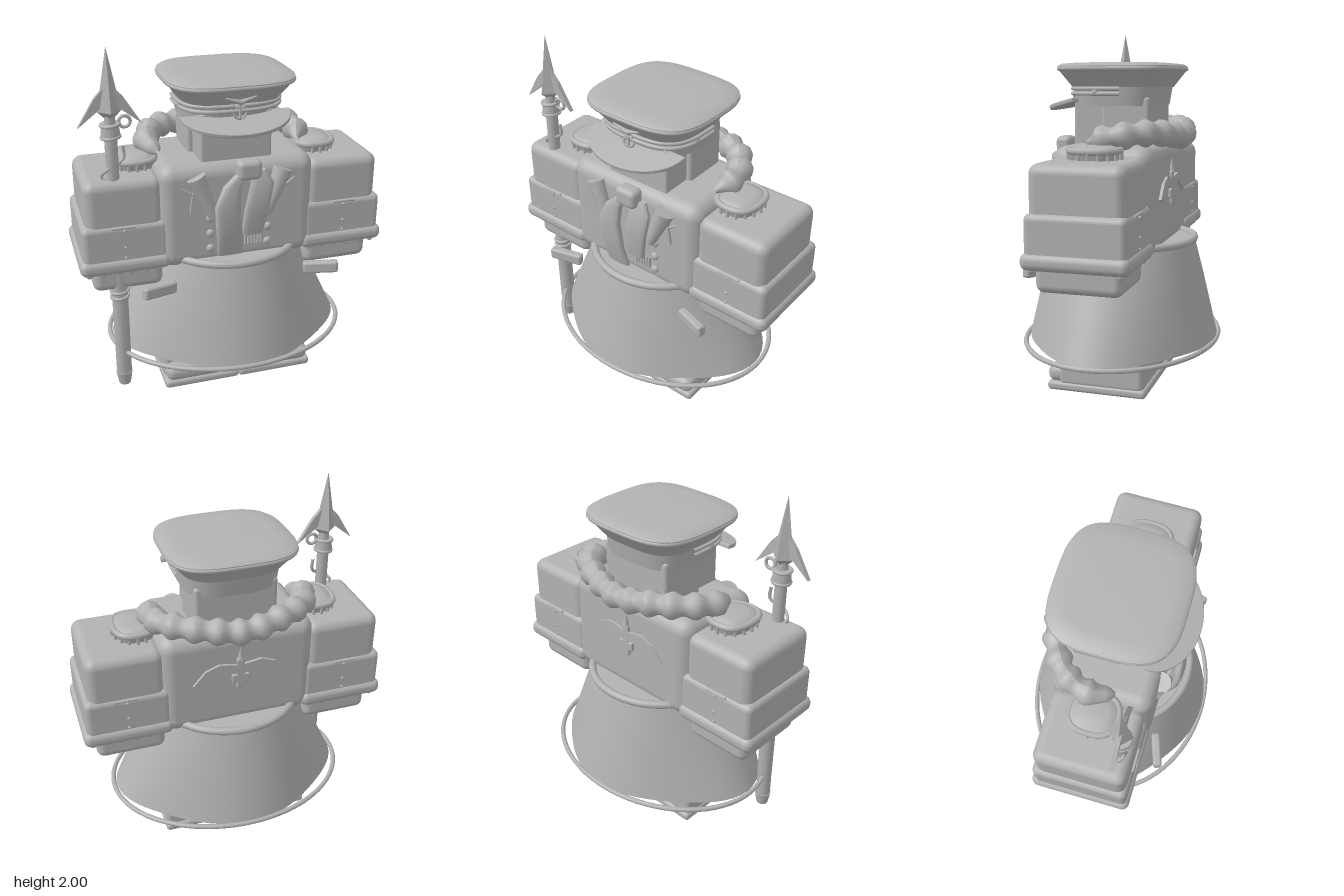
import * as THREE from 'three';
import { toCreasedNormals } from 'three/addons/utils/BufferGeometryUtils.js';
import { RoundedBoxGeometry } from 'three/addons/geometries/RoundedBoxGeometry.js';

const clay = new THREE.MeshStandardMaterial({ color: 0xb2b2b2 });
clay.name = 'clay grey';
const V = (x, y, z) => new THREE.Vector3(x, y, z);

// Point on a superellipse (n = 2 ellipse, larger = squarer)
function rim(a, rx, rz, n) {
  const f = (v) => Math.sign(v) * Math.abs(v) ** (2 / n);
  return [rx * f(Math.cos(a)), rz * f(Math.sin(a))];
}

// Closed loft through horizontal sections [y, rx, rz, cx, cz]
function loft(sections, n = 2, seg = 40, wave = () => 1) {
  const pos = [], idx = [];
  for (const [y, rx, rz, cx = 0, cz = 0] of sections) {
    for (let i = 0; i < seg; i++) {
      const a = (i / seg) * Math.PI * 2, [x, z] = rim(a, rx, rz, n), w = wave(a, y);
      pos.push(cx + x * w, y, cz + z * w);
    }
  }
  const last = sections.length - 1, c0 = pos.length / 3;
  for (const s of [sections[0], sections[last]]) pos.push(s[3] ?? 0, s[0], s[4] ?? 0);
  for (let i = 0; i < seg; i++) {
    const j = (i + 1) % seg;
    for (let k = 0; k < last; k++) {
      const a = k * seg + i, b = k * seg + j;
      idx.push(a, a + seg, b, b, a + seg, b + seg);
    }
    idx.push(c0, i, j, c0 + 1, last * seg + j, last * seg + i);
  }
  const g = new THREE.BufferGeometry();
  g.setAttribute('position', new THREE.Float32BufferAttribute(pos, 3));
  g.setIndex(idx);
  return toCreasedNormals(g, 0.7);
}

export function createModel() {
  const model = new THREE.Group();
  const add = (name, geo, x = 0, y = 0, z = 0, rx = 0, ry = 0, rz = 0) => {
    const m = new THREE.Mesh(geo, clay);
    m.name = name;
    m.position.set(x, y, z);
    m.rotation.set(rx, ry, rz);
    model.add(m);
    return m;
  };
  // Rounded box given by its limits
  const box = (name, x0, x1, y0, y1, z0, z1, r) => add(name,
    new RoundedBoxGeometry(Math.abs(x1 - x0), y1 - y0, z1 - z0, 3, r), (x0 + x1) / 2, (y0 + y1) / 2, (z0 + z1) / 2);
  // Tapered rod between two points
  const rod = (name, a, b, ra, rb = ra, seg = 12) => {
    const d = b.clone().sub(a), c = a.clone().add(b).multiplyScalar(0.5);
    const m = add(name, new THREE.CylinderGeometry(rb, ra, d.length(), seg), c.x, c.y, c.z);
    m.quaternion.setFromUnitVectors(V(0, 1, 0), d.normalize());
  };
  // Thin plate cut from an outline of [x, y] points
  const plate = (name, pts, z, depth) => add(name, new THREE.ExtrudeGeometry(
    new THREE.Shape(pts.map(([x, y]) => new THREE.Vector2(x, y))), { depth, bevelEnabled: false }), 0, 0, z);
  // Round cord along a horizontal superellipse arc
  const cord = (name, y, rx, rz, n, r, a0 = 0, a1 = Math.PI * 2, cx = 0, cz = 0) => {
    const full = a1 - a0 > 6.2, pts = [];
    for (let i = 0; i < 40; i++) {
      const [x, z] = rim(a0 + ((a1 - a0) * i) / (full ? 40 : 39), rx, rz, n);
      pts.push(V(cx + x, y, cz + z));
    }
    add(name, new THREE.TubeGeometry(new THREE.CatmullRomCurve3(pts, full), 80, r, 8, full));
  };

  // Boots
  for (const s of [-1, 1]) {
    box('sole', 0, s * 0.445, 0, 0.05, -0.25, 0.315, 0.02);
    box('boot', 0, s * 0.44, 0.03, 0.3, -0.235, 0.25, 0.03);
    box('toeCap', s * 0.01, s * 0.435, 0.04, 0.14, 0.1, 0.32, 0.045);
    for (const k of [-1, 1]) rod('lace', V(s * 0.16 - 0.06, 0.18 - k * 0.02, 0.252), V(s * 0.16 + 0.06, 0.18 + k * 0.02, 0.252), 0.006);
  }

  // Flared skirt, drawn in on its diagonals
  add('skirt', loft([[0.24, 0.69, 0.55], [0.43, 0.6, 0.505], [0.62, 0.51, 0.46], [0.81, 0.42, 0.41]], 2, 64,
    (a, y) => 1 - 0.08 * Math.sin(2 * a) ** 2 * (0.81 - y) / 0.57));
  cord('hemRing', 0.237, 0.705, 0.55, 2, 0.014);
  cord('waistRing', 0.81, 0.41, 0.41, 2, 0.022);

  // Torso, neck and head
  box('torso', -0.44, 0.44, 0.76, 1.36, -0.275, 0.285, 0.08);
  box('head', -0.2, 0.2, 1.3, 1.62, -0.2, 0.23, 0.015);
  box('hair', -0.23, 0.23, 1.34, 1.62, -0.21, 0.06, 0.02);

  // Peaked cap
  add('capBand', loft([[1.57, 0.265, 0.245], [1.69, 0.28, 0.265]], 3));
  add('capCrown', loft([[1.67, 0.275, 0.265], [1.75, 0.335, 0.325], [1.765, 0.354, 0.338], [1.785, 0.354, 0.338],
    [1.797, 0.335, 0.32], [1.803, 0.26, 0.25]], 3.4, 56));
  cord('crownPiping', 1.77, 0.347, 0.332, 3.4, 0.012);
  for (const y of [1.635, 1.662]) cord('capStrap', y, 0.284, 0.268, 3, 0.011, -0.1, Math.PI + 0.1);
  const peak = new THREE.Shape();
  peak.absellipse(0, 0, 0.295, 0.215, 0, Math.PI, false);
  add('capPeak', new THREE.ExtrudeGeometry(peak, { depth: 0.012, bevelSize: 0.006, bevelThickness: 0.006, curveSegments: 32 }),
    0, 1.605, 0.21, Math.PI / 2 + 0.24);
  rod('badgeShank', V(0, 1.6, 0.29), V(0, 1.68, 0.29), 0.007);
  rod('badgeBar', V(-0.025, 1.66, 0.29), V(0.025, 1.66, 0.29), 0.006);
  add('badgeHook', new THREE.TorusGeometry(0.034, 0.007, 6, 16, Math.PI), 0, 1.634, 0.29, 0, 0, Math.PI);
  for (const s of [-1, 1]) {
    rod('badgeWing', V(0, 1.69, 0.3), V(s * 0.085, 1.72, 0.31), 0.014, 0.004);
    add('capButton', new THREE.SphereGeometry(0.02, 12, 8), s * 0.275, 1.645, 0.08);
  }

  // Lumpy fur collar draped round the back
  const path = new THREE.CatmullRomCurve3([V(-0.4, 1.38, 0.08), V(-0.435, 1.41, -0.06), V(-0.37, 1.43, -0.2),
    V(-0.22, 1.425, -0.295), V(0, 1.4, -0.335), V(0.22, 1.425, -0.295), V(0.37, 1.43, -0.2), V(0.435, 1.41, -0.06), V(0.4, 1.38, 0.08)]);
  const N = 80, R = 12, fur = new THREE.TubeGeometry(path, N, 0.07, R), fp = fur.attributes.position;
  for (let i = 0; i <= N; i++) {
    const c = path.getPointAt(i / N), w = (0.92 + 0.16 * Math.sin(i * 0.95)) * Math.min(1, 0.2 + Math.min(i, N - i) * 0.16);
    for (let j = 0; j <= R; j++) {
      const k = i * (R + 1) + j, p = V().fromBufferAttribute(fp, k).sub(c).multiplyScalar(w).add(c);
      fp.setXYZ(k, p.x, p.y, p.z);
    }
  }
  fur.computeVertexNormals();
  add('furCollar', fur);

  // Arms, cuffs, hands and shoulder boards
  for (const s of [-1, 1]) {
    box('upperSleeve', s * 0.41, s * 0.835, 0.98, 1.305, -0.255, 0.255, 0.055);
    box('lowerSleeve', s * 0.39, s * 0.86, 0.8, 1.06, -0.268, 0.268, 0.035);
    box('cuff', s * 0.38, s * 0.88, 0.775, 0.865, -0.285, 0.285, 0.04);
    box('hand', s * 0.42, s * 0.81, 0.65, 0.81, -0.23, 0.23, 0.045);
    add('thumb', new RoundedBoxGeometry(0.2, 0.07, 0.05, 2, 0.015), s * 0.47, 0.69, 0.35, 0, -s * 0.32, s * 0.06);
    for (const f of [-1, 1]) {
      for (let i = 0; i < 6; i++) add('cuffStud', new THREE.SphereGeometry(0.018, 10, 8), s * (0.44 + i * 0.078), 0.772, f * 0.235);
      for (const y of [0.87, 0.93, 1.03]) add('sleeveButton', new THREE.SphereGeometry(0.009, 8, 6), s * 0.63, y, f * 0.27);
      rod('sleeveSeam', V(s * 0.57, 1.045, f * 0.264), V(s * 0.7, 1.045, f * 0.264), 0.008);
    }
    add('shoulderBoard', loft([[1.29, 0.1, 0.12, s * 0.52], [1.345, 0.115, 0.135, s * 0.52], [1.365, 0.1, 0.12, s * 0.52],
      [1.375, 0.06, 0.08, s * 0.52]], 2.6));
    cord('shoulderPiping', 1.35, 0.112, 0.13, 2.6, 0.018, 0, Math.PI * 2, s * 0.52);
    for (let i = 0; i < 11; i++) {
      const a = -1.9 + i * 0.38, x = s * (0.52 + 0.12 * Math.cos(a)), z = 0.14 * Math.sin(a);
      rod('fringe', V(x, 1.3, z), V(x, 1.35, z), 0.009, 0.009, 6);
    }
  }

  // Neckerchief with knot and two tails
  box('knot', -0.035, 0.1, 1.28, 1.39, 0.295, 0.385, 0.03);
  add('leftTail', loft([[0.84, 0.075, 0.018, -0.065, 0.325], [0.96, 0.073, 0.022, -0.075, 0.355], [1.14, 0.07, 0.025, -0.09, 0.365],
    [1.25, 0.05, 0.025, -0.06, 0.355], [1.31, 0.03, 0.02, -0.01, 0.345]], 3, 24));
  add('rightTail', loft([[0.95, 0.06, 0.018, 0.06, 0.33], [1.1, 0.07, 0.022, 0.08, 0.35], [1.25, 0.065, 0.025, 0.11, 0.345],
    [1.32, 0.045, 0.02, 0.09, 0.325]], 3, 24));
  for (const s of [-1, 1]) {
    rod('collarRoll', V(s * 0.15, 1.07, 0.31), V(s * 0.245, 1.3, 0.29), 0.03, 0.055);
    const flap = [[0.11, 1.13], [0.28, 1.1], [0.25, 1.3]].map(([x, y]) => [s * x, y]);
    plate('lapel', s > 0 ? flap : flap.reverse(), 0.28, 0.02);
    for (const y of [0.87, 0.96, 1.05]) {
      const b = add('coatButton', new THREE.SphereGeometry(0.024, 14, 10), s * 0.165, y, 0.288);
      b.scale.z = 0.7;
    }
    rod('chestSprig', V(s * 0.22, 1.17, 0.295), V(s * 0.32, 1.24, 0.285), 0.009, 0.004);
  }
  for (let i = 0; i < 6; i++) box('medalBar', 0.03 + i * 0.018, 0.043 + i * 0.018, 0.865, 0.935, 0.28, 0.3, 0.004);

  // Raised winged ornament on the back
  box('ornamentStem', -0.022, 0.022, 1.01, 1.2, -0.292, -0.27, 0.006);
  box('ornamentFoot', -0.05, 0.05, 1.05, 1.1, -0.292, -0.27, 0.006);
  add('ornamentTip', new THREE.ConeGeometry(0.02, 0.08, 8), 0, 1.235, -0.282);
  for (const s of [-1, 1]) {
    const wing = [[0, 1.1], [0.12, 1.13], [0.19, 1.11], [0.25, 1.06], [0.27, 1.07], [0.2, 1.15], [0.12, 1.18], [0, 1.16]].map(([x, y]) => [s * x, y]);
    plate('ornamentWing', s > 0 ? wing : wing.reverse(), -0.291, 0.02);
  }

  // Harpoon held in the right hand
  const hx = -0.665, hz = 0.19;
  const at = (y) => V(hx, y, hz);
  rod('ferrule', at(0.02), at(0.1), 0.034, 0.048, 16);
  rod('lowerShaft', at(0.1), at(1), 0.044, 0.046, 10);
  rod('upperShaft', at(1), at(1.57), 0.034, 0.034, 10);
  rod('socket', at(1.53), at(1.605), 0.052, 0.045, 16);
  rod('spearNeck', at(1.6), at(1.7), 0.03, 0.025);
  for (const y of [0.6, 0.635, 1.535, 1.6]) add('binding', new THREE.TorusGeometry(0.048, 0.009, 8, 24), hx, y, hz, Math.PI / 2, 0.08);
  add('spearPoint', new THREE.ConeGeometry(0.062, 0.33, 4).toNonIndexed(), hx, 1.835, hz).geometry.computeVertexNormals();
  add('spearPointBase', new THREE.ConeGeometry(0.062, 0.06, 4), hx, 1.64, hz, Math.PI);
  for (let k = 0; k < 2; k++) {
    const barb = new THREE.Shape([[0.02, 1.8], [0.03, 1.7], [0.165, 1.595], [0.075, 1.74]].map(([x, y]) => new THREE.Vector2(x, y)));
    const g = new THREE.ExtrudeGeometry(barb, { depth: 0.024, bevelEnabled: false }).translate(0, 0, -0.012);
    add('barb', g, hx, 0, hz, 0, k * Math.PI);
  }
  add('lineRing', new THREE.TorusGeometry(0.03, 0.009, 8, 20), hx + 0.075, 1.61, hz);
  add('line', new THREE.TubeGeometry(new THREE.CatmullRomCurve3([V(hx + 0.06, 1.48, hz), V(hx + 0.06, 1.41, hz), V(hx - 0.03, 1.36, hz + 0.02),
    V(hx - 0.06, 1.32, hz), V(hx + 0.02, 1.27, hz + 0.05)]), 30, 0.009, 6));
  return model;
}
